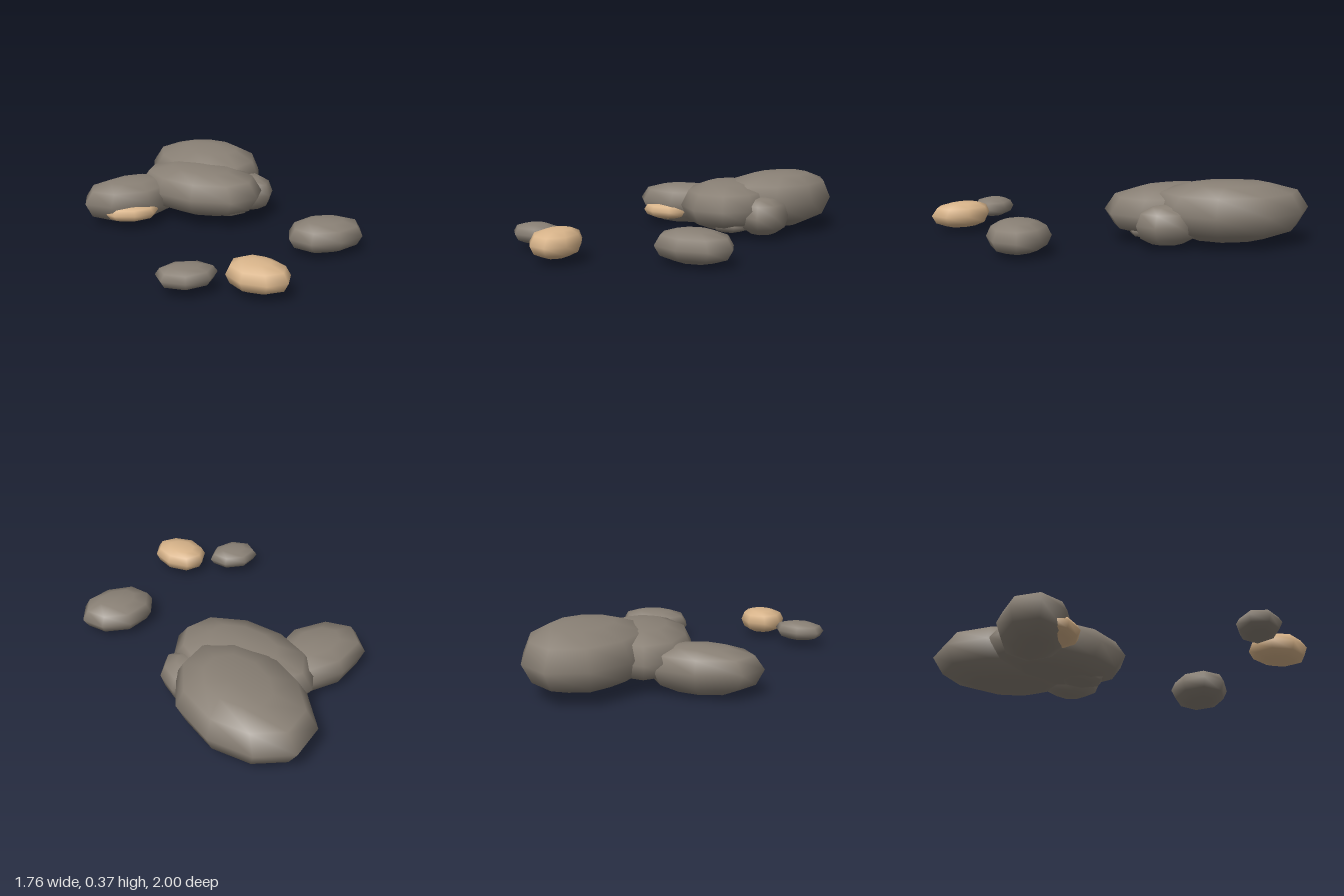
import * as THREE from 'three';

// Cross-section rings: [scale of the waist, height: +1 = crown, -1 = base]
const RINGS = [[0.48, 0.91], [0.85, 0.62], [1, 0], [0.86, -0.6], [0.5, -0.92]];

// A flattened, smooth-shaded boulder with a slightly irregular oval waist.
// centre: [x, z], radii: [long, short], turn: degrees in plan,
// heights: [base, waist, crown], peak: [x, z] of the crown
function boulderGeometry({ centre, radii, turn, sides, heights, peak = centre }) {
  const [low, waist, high] = heights;
  const angle = THREE.MathUtils.degToRad(turn);

  const outline = [];
  for (let i = 0; i < sides; i++) {
    const t = (i / sides) * Math.PI * 2;
    const wobble = 1.03 + 0.025 * Math.sin(3 * t + turn);
    const p = new THREE.Vector2(radii[0] * Math.cos(t), radii[1] * Math.sin(t));
    p.multiplyScalar(wobble).rotateAround(new THREE.Vector2(), angle);
    outline.push([centre[0] + p.x, centre[1] + p.y]);
  }

  const positions = [peak[0], high, peak[1]];
  for (const [scale, h] of RINGS) {
    const [ox, oz] = h > 0 ? peak : centre;
    const y = waist + (h > 0 ? high - waist : waist - low) * h;
    for (const [x, z] of outline) positions.push(ox + (x - ox) * scale, y, oz + (z - oz) * scale);
  }
  positions.push(centre[0], low, centre[1]);

  const index = [];
  const base = positions.length / 3 - 1;
  const at = (ring, i) => 1 + ring * sides + (i % sides);
  for (let i = 0; i < sides; i++) {
    index.push(0, at(0, i + 1), at(0, i));
    for (let r = 0; r < RINGS.length - 1; r++) {
      const a = at(r, i), b = at(r, i + 1), c = at(r + 1, i), d = at(r + 1, i + 1);
      index.push(a, b, c, b, d, c);
    }
    index.push(base, at(RINGS.length - 1, i), at(RINGS.length - 1, i + 1));
  }

  const geometry = new THREE.BufferGeometry();
  geometry.setAttribute('position', new THREE.Float32BufferAttribute(positions, 3));
  geometry.setIndex(index);
  geometry.computeVertexNormals();
  return geometry;
}

export function createModel() {
  const grey = new THREE.MeshStandardMaterial({ color: 0x898075 });
  grey.name = 'greyStone';
  const tan = new THREE.MeshStandardMaterial({ color: 0xd8b48a });
  tan.name = 'sandStone';

  const group = new THREE.Group();
  group.name = 'rockPile';
  const addStone = (name, material, shape) => {
    const mesh = new THREE.Mesh(boulderGeometry(shape), material);
    mesh.name = name;
    group.add(mesh);
  };

  // Stacked cluster
  addStone('backSlab', grey, {
    centre: [-0.38, -0.63], radii: [0.46, 0.33], turn: 37, sides: 10,
    heights: [0.02, 0.2, 0.37], peak: [-0.33, -0.69],
  });
  addStone('middleBoulder', grey, {
    centre: [-0.26, -0.31], radii: [0.43, 0.29], turn: 12, sides: 10,
    heights: [0.03, 0.18, 0.325],
  });
  addStone('sideBoulder', grey, {
    centre: [-0.02, -0.49], radii: [0.19, 0.15], turn: 20, sides: 8,
    heights: [0.02, 0.14, 0.25],
  });
  addStone('lowStone', grey, {
    centre: [-0.1, -0.3], radii: [0.17, 0.13], turn: 0, sides: 7,
    heights: [0.025, 0.08, 0.15],
  });
  addStone('leaningBoulder', grey, {
    centre: [-0.63, -0.06], radii: [0.32, 0.21], turn: -60, sides: 8,
    heights: [0, 0.145, 0.26], peak: [-0.62, -0.08],
  });
  addStone('tuckedSandStone', tan, {
    centre: [-0.56, 0.07], radii: [0.17, 0.12], turn: -40, sides: 8,
    heights: [0.035, 0.09, 0.14],
  });

  // Loose stones
  addStone('looseBoulder', grey, {
    centre: [0.67, -0.01], radii: [0.23, 0.175], turn: -50, sides: 8,
    heights: [0.01, 0.1, 0.19],
  });
  addStone('looseSandStone', tan, {
    centre: [0.55, 0.72], radii: [0.18, 0.14], turn: 15, sides: 8,
    heights: [0.025, 0.105, 0.18], peak: [0.52, 0.69],
  });
  addStone('looseSmallStone', grey, {
    centre: [0.21, 0.85], radii: [0.16, 0.122], turn: -42, sides: 7,
    heights: [0.035, 0.095, 0.15],
  });

  return group;
}
